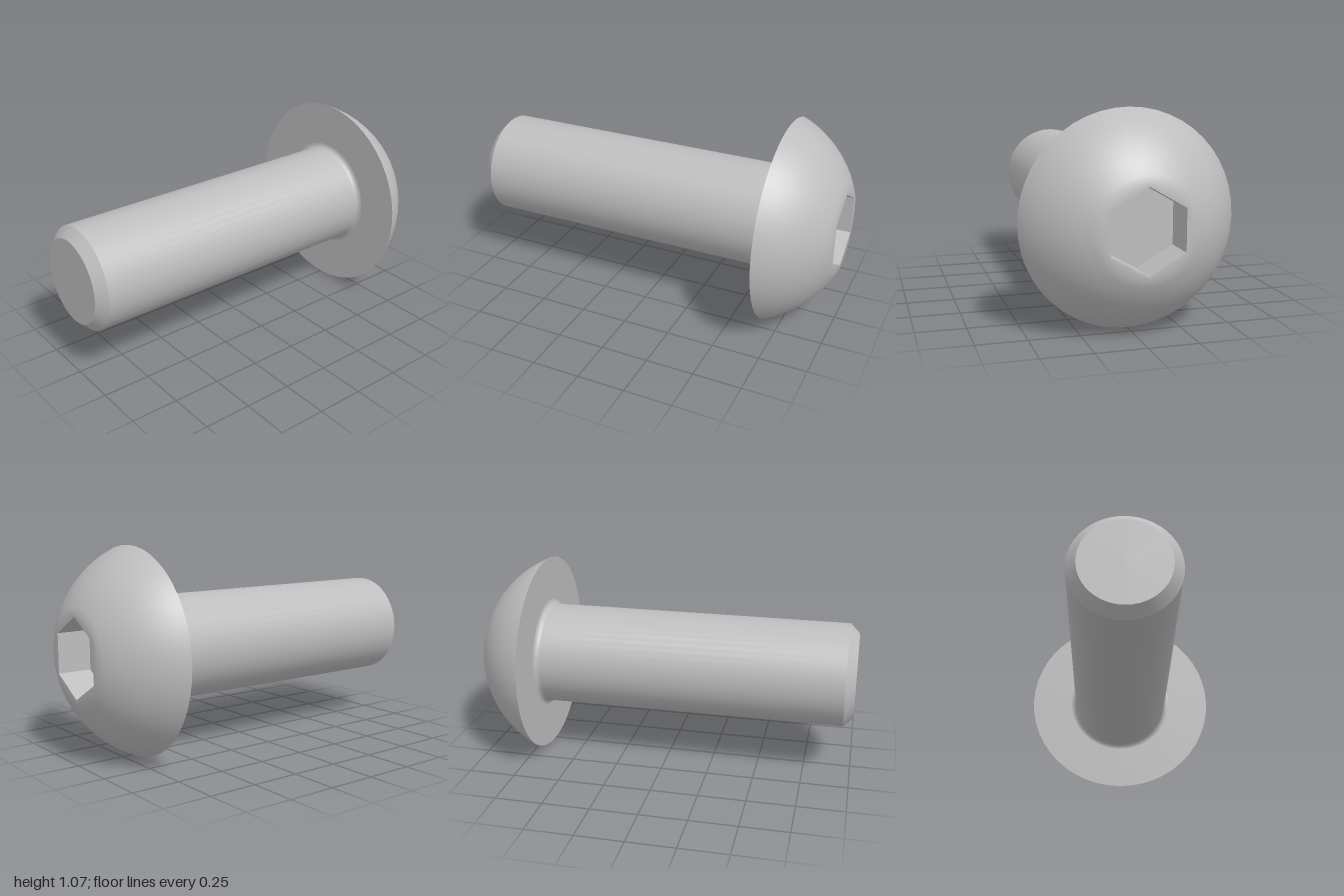
import * as THREE from 'three';

const SIDES = 48;
const HEAD_R = 0.533, HEAD_X = 0.69, SHAFT_R = 0.272, TOP_R = 0.225;
const HEX_R = 0.204, FLOOR_X = 0.825;

// Points along a circular arc as [radius, height] pairs
function arc(cr, ch, r, from, to, steps) {
  return Array.from({ length: steps + 1 }, (_, i) => {
    const a = from + (to - from) * i / steps;
    return [cr + r * Math.cos(a), ch + r * Math.sin(a)];
  });
}

export function createModel() {
  const steel = new THREE.MeshStandardMaterial({ color: 0xbdbdbd });
  steel.name = 'steel grey';

  // The screw is turned around y, then laid down along x
  const screw = new THREE.Group();
  screw.name = 'buttonHeadScrew';
  screw.rotation.z = -Math.PI / 2;
  screw.position.y = HEAD_R;

  function turn(name, profile, sides = SIDES, start = 0) {
    let geo = new THREE.LatheGeometry(profile.map(p => new THREE.Vector2(...p)), sides, start);
    if (sides === 6) {
      geo = geo.toNonIndexed();
      geo.computeVertexNormals();
    }
    const mesh = new THREE.Mesh(geo, steel);
    mesh.name = name;
    screw.add(mesh);
    return mesh;
  }

  // Shaft with chamfered tip and a small fillet under the head
  const tipR = SHAFT_R - 0.05, fillet = 0.027;
  turn('tipFace', [[0, -1], [tipR, -1]]);
  turn('tipChamfer', [[tipR, -1], [SHAFT_R, -0.95]]);
  turn('shaft', [[SHAFT_R, -0.95], [SHAFT_R, HEAD_X - fillet]]);
  turn('shaftFillet', arc(SHAFT_R + fillet, HEAD_X - fillet, fillet, Math.PI, Math.PI / 2, 5));
  turn('headUnderside', [[SHAFT_R + fillet, HEAD_X], [HEAD_R, HEAD_X]]);

  // Domed head: a spherical arc, then a flat rim that ends in a hexagon
  const c = (1 + TOP_R ** 2 - HEAD_X ** 2 - HEAD_R ** 2) / (2 * (1 - HEAD_X));
  const R = Math.hypot(HEAD_R, HEAD_X - c);
  const dome = arc(0, c, R, Math.asin((HEAD_X - c) / R), Math.asin((1 - c) / R), 14);
  const head = turn('headDome', [...dome, [HEX_R, 1]]);
  const pos = head.geometry.attributes.position;
  const rings = dome.length + 1;
  for (let i = 0; i <= SIDES; i++) {
    const a = i / SIDES * Math.PI * 2;
    const off = a - Math.round(a / (Math.PI / 3)) * Math.PI / 3;
    const r = HEX_R * Math.cos(Math.PI / 6) / Math.cos(off);
    pos.setXYZ(i * rings + rings - 1, r * Math.sin(a), 1, r * Math.cos(a));
  }

  // Hexagonal drive socket
  turn('socketWalls', [[HEX_R, 1], [HEX_R, FLOOR_X]], 6, Math.PI / 6);
  turn('socketFloor', [[HEX_R, FLOOR_X], [0, FLOOR_X]], 6, Math.PI / 6);

  const model = new THREE.Group();
  model.name = 'screwModel';
  model.add(screw);
  return model;
}
